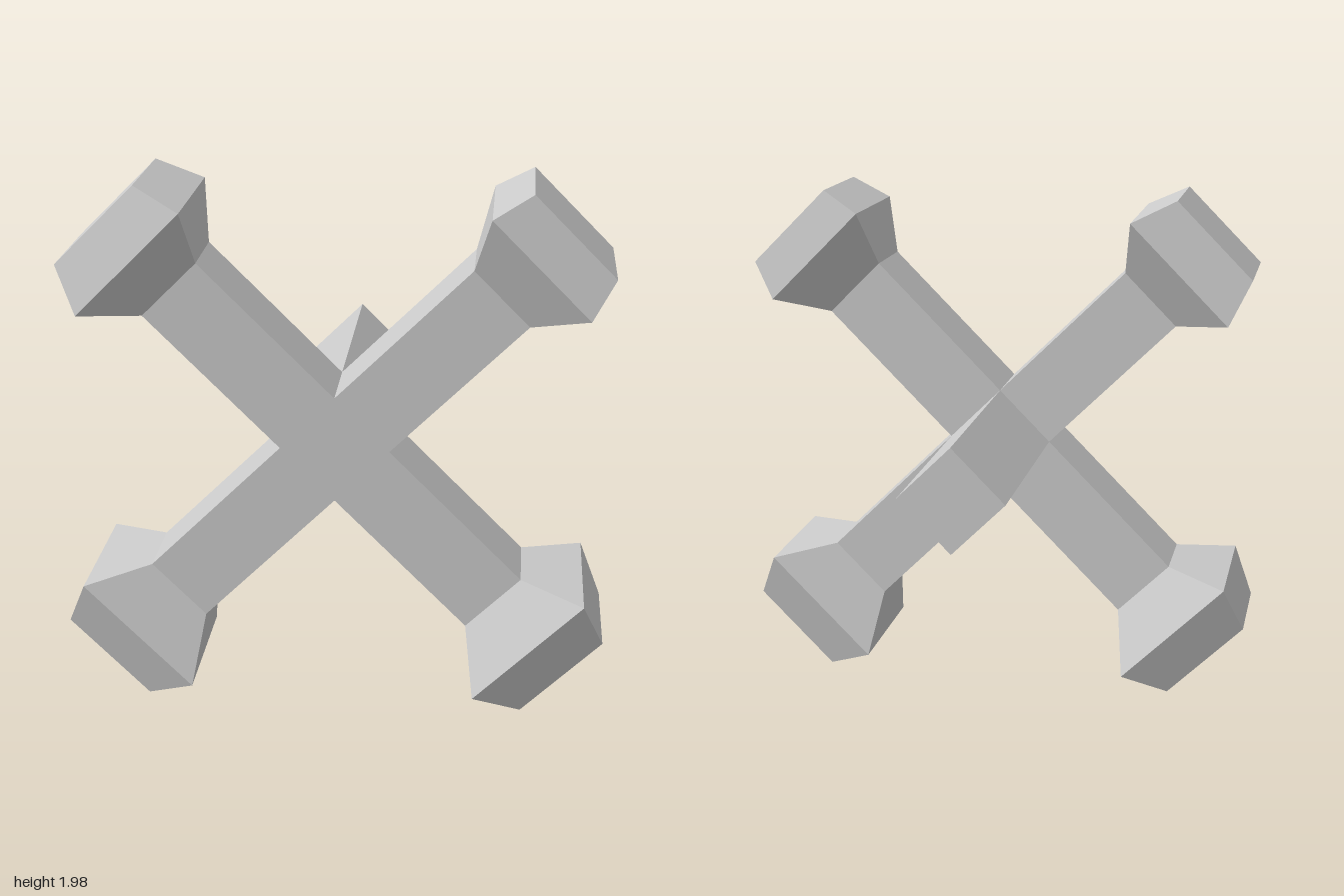
import * as THREE from 'three';

const W = 0.1414;   // half width of the square bars
const ARM = 0.835;  // bar length from the hub to the start of a head
const Z = 0.355;    // depth at which the cross is centred

export function createModel() {
  const group = new THREE.Group();
  const material = new THREE.MeshStandardMaterial({ color: 0xcccccc, flatShading: true });

  const add = (name, geometry) => {
    const mesh = new THREE.Mesh(geometry, material);
    mesh.name = name;
    group.add(mesh);
    return mesh;
  };

  // Four arms as one plus-shaped slab, turned to stand as an X
  const outline = [];
  for (let i = 0; i < 4; i++) {
    for (const [x, y] of [[W, -W], [ARM, -W], [ARM, W]]) {
      outline.push(new THREE.Vector2(x, y).rotateAround(new THREE.Vector2(), i * Math.PI / 2));
    }
  }
  const slab = new THREE.ExtrudeGeometry(new THREE.Shape(outline), { depth: 2 * W, bevelEnabled: false });
  slab.translate(0, 0, -W);
  const arms = add('crossArms', slab);
  arms.position.set(0, 1, Z);
  arms.rotation.z = Math.PI / 4;

  // Square bar running backwards from the hub
  const back = -0.635, front = Z - W;
  const bar = add('rearArm', new THREE.BoxGeometry(2 * W, 2 * W, front - back));
  bar.position.set(0, 1, (front + back) / 2);
  bar.rotation.z = Math.PI / 4;

  // Flared square heads: [name, x side, y side, flare half width, flare distance, end distance, end half width]
  const heads = [
    ['upperLeftHead', 1, 1, 0.2475, 1.025, 1.183, 0.206],
    ['upperRightHead', -1, 1, 0.268, 1.006, 1.183, 0.206],
    ['lowerLeftHead', 1, -1, 0.28, 1.023, 1.204, 0.208],
    ['lowerRightHead', -1, -1, 0.28, 1.025, 1.206, 0.208],
  ];
  for (const [name, sx, sy, flare, flareAt, endAt, end] of heads) {
    const profile = [[W, ARM], [flare, flareAt], [end, endAt], [0, endAt]]
      .map(([half, y]) => new THREE.Vector2(half * Math.SQRT2, y));
    const head = add(name, new THREE.LatheGeometry(profile, 4, Math.PI / 4));
    head.position.set(0, 1, Z);
    head.rotation.z = -Math.atan2(sx, sy);
  }

  return group;
}
